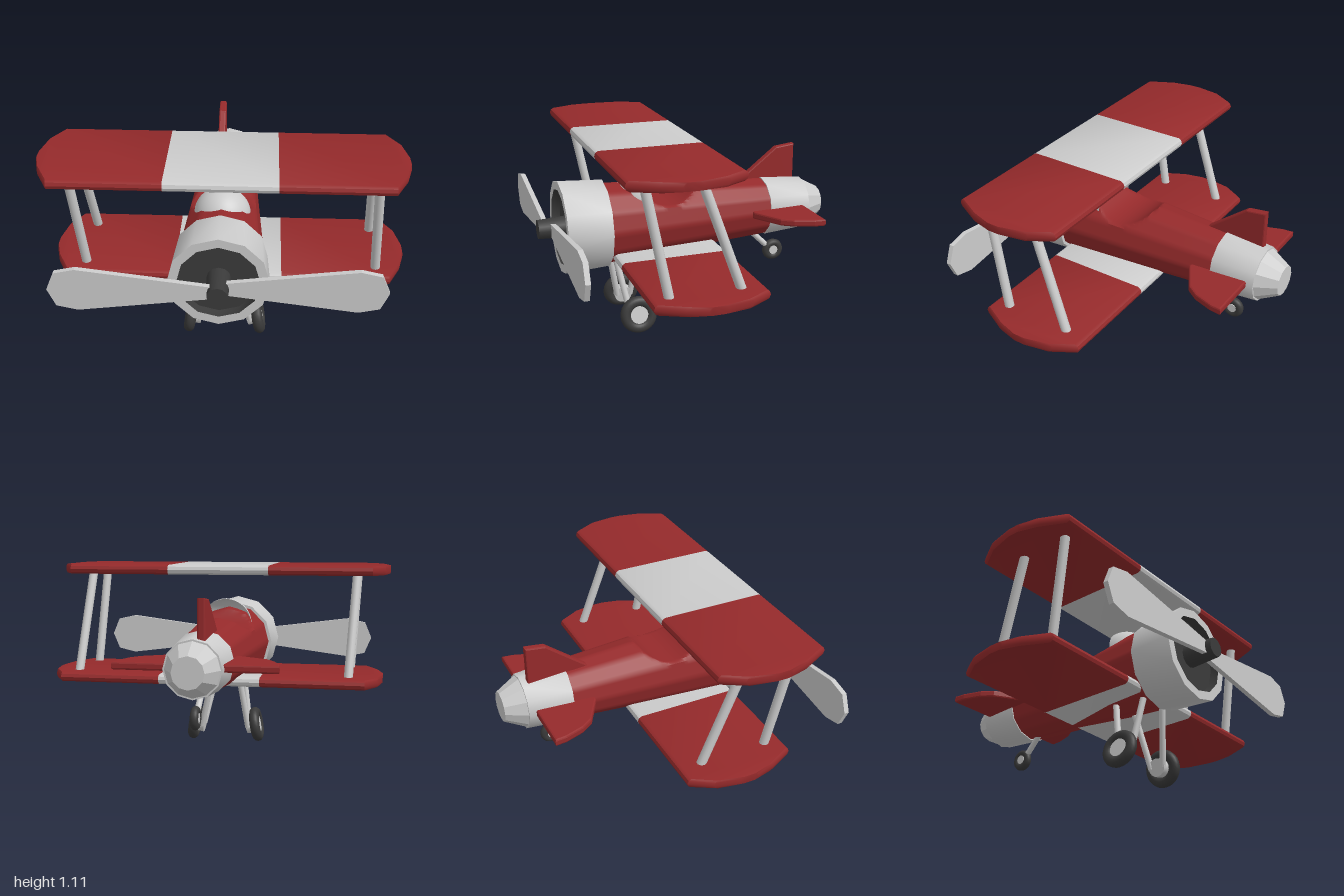
import * as THREE from 'three';
import { toCreasedNormals } from 'three/addons/utils/BufferGeometryUtils.js';

const mat = (color, side = THREE.FrontSide) => new THREE.MeshStandardMaterial({ color, side });
const grey = mat(0xcccccc), red = mat(0x952a2b), dark = mat(0x3a3a3a);
const greyThin = mat(0xcccccc, THREE.DoubleSide);
const CX = -0.02, CY = 0.618; // fuselage axis

// Skin a list of rings (arrays of [x, y, z]) and close the chosen ends
function loft(rings, { start = true, end = true, crease = 0.6 } = {}) {
  const n = rings[0].length, index = [];
  for (let i = 0; i < rings.length - 1; i++) {
    for (let j = 0; j < n; j++) {
      const a = i * n + j, b = i * n + (j + 1) % n;
      index.push(a, b, b + n, a, b + n, a + n);
    }
  }
  const last = (rings.length - 1) * n;
  for (let j = 1; j < n - 1; j++) {
    if (start) index.push(0, j + 1, j);
    if (end) index.push(last, last + j, last + j + 1);
  }
  const g = new THREE.BufferGeometry();
  g.setAttribute('position', new THREE.Float32BufferAttribute(rings.flat(2), 3));
  g.setIndex(index);
  return toCreasedNormals(g, crease);
}

// Ring around the fuselage axis
const ring = (z, r, n = 12) => Array.from({ length: n }, (_, j) => {
  const a = Math.PI / 2 + j / n * Math.PI * 2;
  return [CX + r * Math.cos(a), CY + r * Math.sin(a), z];
});

function add(parent, name, geometry, material) {
  const m = new THREE.Mesh(geometry, material);
  m.name = name;
  parent.add(m);
  return m;
}

// Round rod between two points
function rod(parent, name, a, b, r) {
  const A = new THREE.Vector3(...a), B = new THREE.Vector3(...b);
  const m = add(parent, name, new THREE.CylinderGeometry(r, r, A.distanceTo(B), 12), grey);
  m.position.copy(A).add(B).multiplyScalar(0.5);
  m.quaternion.setFromUnitVectors(new THREE.Vector3(0, 1, 0), B.sub(A).normalize());
}

// Flat plate cut from an outline, centred on its own thickness
function plate(points, depth, bevel = 0) {
  const shape = new THREE.Shape(points.map(p => new THREE.Vector2(...p)));
  const g = new THREE.ExtrudeGeometry(shape, {
    depth: depth - 2 * bevel, bevelEnabled: bevel > 0, bevelThickness: bevel,
    bevelSize: bevel, bevelOffset: -bevel, bevelSegments: 2,
  });
  return g.translate(0, 0, bevel - depth / 2);
}

// Wing in three coloured panels with rounded edges and clipped tips
function wing(name, cx, cy, zBack) {
  const g = new THREE.Group();
  g.name = name;
  const section = ([x, z0, z1, t]) => {
    const e = 0.022, h = t / 2;
    return [[h, z0 + e], [h * 0.65, z0 + e * 0.3], [0, z0], [-h * 0.65, z0 + e * 0.3], [-h, z0 + e],
      [-h, z1 - e], [-h * 0.65, z1 - e * 0.3], [0, z1], [h * 0.65, z1 - e * 0.3], [h, z1 - e]]
      .map(([y, z]) => [cx + x, cy + y, zBack + z]).reverse();
  };
  const tip = [[0.295, 0, 0.62, 0.055], [0.885, 0, 0.62, 0.055], [0.955, 0.12, 0.48, 0.053], [0.985, 0.26, 0.37, 0.045]];
  const mirror = tip.map(([x, ...rest]) => [-x, ...rest]).reverse();
  add(g, 'leftPanel', loft(tip.map(section)), red);
  add(g, 'centrePanel', loft([mirror[3], tip[0]].map(section)), grey);
  add(g, 'rightPanel', loft(mirror.map(section)), red);
  return g;
}

// Tyre and hub, axle along x
function wheel(name, R, tube, hubR, inner, outer) {
  const g = new THREE.Group();
  g.name = name;
  add(g, 'tyre', new THREE.TorusGeometry(R, tube, 12, 28).rotateY(Math.PI / 2), dark);
  const hub = add(g, 'hub', new THREE.CylinderGeometry(hubR, hubR, inner + outer, 16).rotateZ(Math.PI / 2), grey);
  hub.position.x = (outer - inner) / 2;
  return g;
}

export function createModel() {
  const model = new THREE.Group();
  model.name = 'biplane';

  // Twelve-sided body with a round scoop taken out for the cockpit
  const body = [];
  for (let i = 0; i <= 56; i++) {
    const z = -0.49 + 0.973 * i / 56, r = 0.17 + 0.064 * i / 56;
    const d = 0.2185 ** 2 - (z - 0.124) ** 2;
    const floor = d > 0 ? 0.9485 - Math.sqrt(d) : 9;
    body.push(Array.from({ length: 60 }, (_, j) => {
      const a = Math.PI / 2 + j / 60 * Math.PI * 2;
      const k = (j % 5) / 5 * Math.PI / 6 - Math.PI / 12;
      const rr = r * Math.cos(Math.PI / 12) / Math.cos(k);
      return [CX + rr * Math.cos(a), Math.min(CY + rr * Math.sin(a), floor), z];
    }));
  }
  add(model, 'fuselage', loft(body), red);
  add(model, 'tailBand', loft([ring(-0.745, 0.156), ring(-0.49, 0.176)]), grey);
  add(model, 'tailCone', loft([ring(-0.86, 0.086), ring(-0.745, 0.147)], { crease: 0.3 }), grey);

  // Cowling with a dark recessed front
  add(model, 'cowling', loft([ring(0.483, 0.252), ring(0.738, 0.267), ring(0.738, 0.218)], { end: false }), grey);
  add(model, 'engineRecess', loft([ring(0.738, 0.218), ring(0.69, 0.212)], { start: false }), dark);

  // Windscreen: open half dome, leaning back
  const screen = add(model, 'windscreen',
    new THREE.SphereGeometry(0.155, 24, 14, 0, Math.PI, 0, Math.PI * 0.56), greyThin);
  screen.position.set(CX, 0.75, 0.262);
  screen.rotation.x = -0.15;

  // Wings and the struts between them
  model.add(wing('upperWing', -0.015, 1.088, -0.025));
  model.add(wing('lowerWing', 0.015, 0.458, -0.149));
  for (const [top, bottom] of [[-0.81, -0.775], [0.795, 0.83]]) {
    rod(model, 'frontWingStrut', [top, 1.08, 0.483], [bottom, 0.465, 0.367], 0.026);
    rod(model, 'rearWingStrut', [top, 1.08, 0.195], [bottom, 0.465, -0.022], 0.026);
  }

  // Propeller
  const propeller = new THREE.Group();
  propeller.name = 'propeller';
  propeller.position.set(CX, 0.617, 0);
  model.add(propeller);
  const hub = add(propeller, 'propellerHub',
    new THREE.CylinderGeometry(0.054, 0.064, 0.17, 12).rotateX(Math.PI / 2), dark);
  hub.position.z = 0.775;
  const half = [[0.03, 0.036], [0.72, 0.125], [0.83, 0.1]];
  const outline = [...half.map(([x, y]) => [x, -y]), [0.872, 0], ...half.reverse()];
  for (const side of [0, 1]) {
    const blade = add(propeller, 'propellerBlade', plate(outline, 0.028), grey);
    blade.rotation.z = side * Math.PI;
    blade.position.z = side ? 0.813 : 0.779;
  }

  // Main landing gear
  for (const s of [-1, 1]) {
    const x = s > 0 ? 0.188 : -0.2;
    const w = wheel('mainWheel', 0.077, 0.031, 0.052, 0.062, 0.02);
    w.position.set(x, 0.112, 0.343);
    w.rotation.set(0, s > 0 ? 0 : Math.PI, s * 0.17, 'ZYX');
    model.add(w);
    for (const [z0, z1] of [[0.443, 0.378], [0.243, 0.3]]) {
      rod(model, 'gearStrut', [CX + s * 0.08, 0.45, z0], [x - s * 0.048, 0.1, z1], 0.018);
    }
  }

  // Tail wheel
  const tailWheel = wheel('tailWheel', 0.042, 0.023, 0.027, 0.02, 0.02);
  tailWheel.position.set(0, 0.333, -0.572);
  model.add(tailWheel);
  rod(model, 'tailWheelStrut', [-0.01, 0.49, -0.4], [0, 0.335, -0.56], 0.017);

  // Tailplane halves and fin
  const tail = [[0, 0.705], [0, 0.36], [0.19, 0.37], [0.35, 0.465], [0.395, 0.53], [0.432, 0.64], [0.438, 0.705]];
  for (const s of [-1, 1]) {
    const pts = tail.map(([x, y]) => [s * x, y]);
    const half = add(model, s > 0 ? 'leftTailplane' : 'rightTailplane', plate(pts, 0.042, 0.01), red);
    half.rotation.x = -Math.PI / 2;
    half.position.set(CX, 0.622, 0);
  }
  const fin = add(model, 'fin',
    plate([[0.34, 0.74], [0.365, 0.786], [0.595, 0.966], [0.71, 0.98], [0.71, 0.7]], 0.042, 0.008), red);
  fin.rotation.y = Math.PI / 2;
  fin.position.x = -0.058;
  return model;
}
